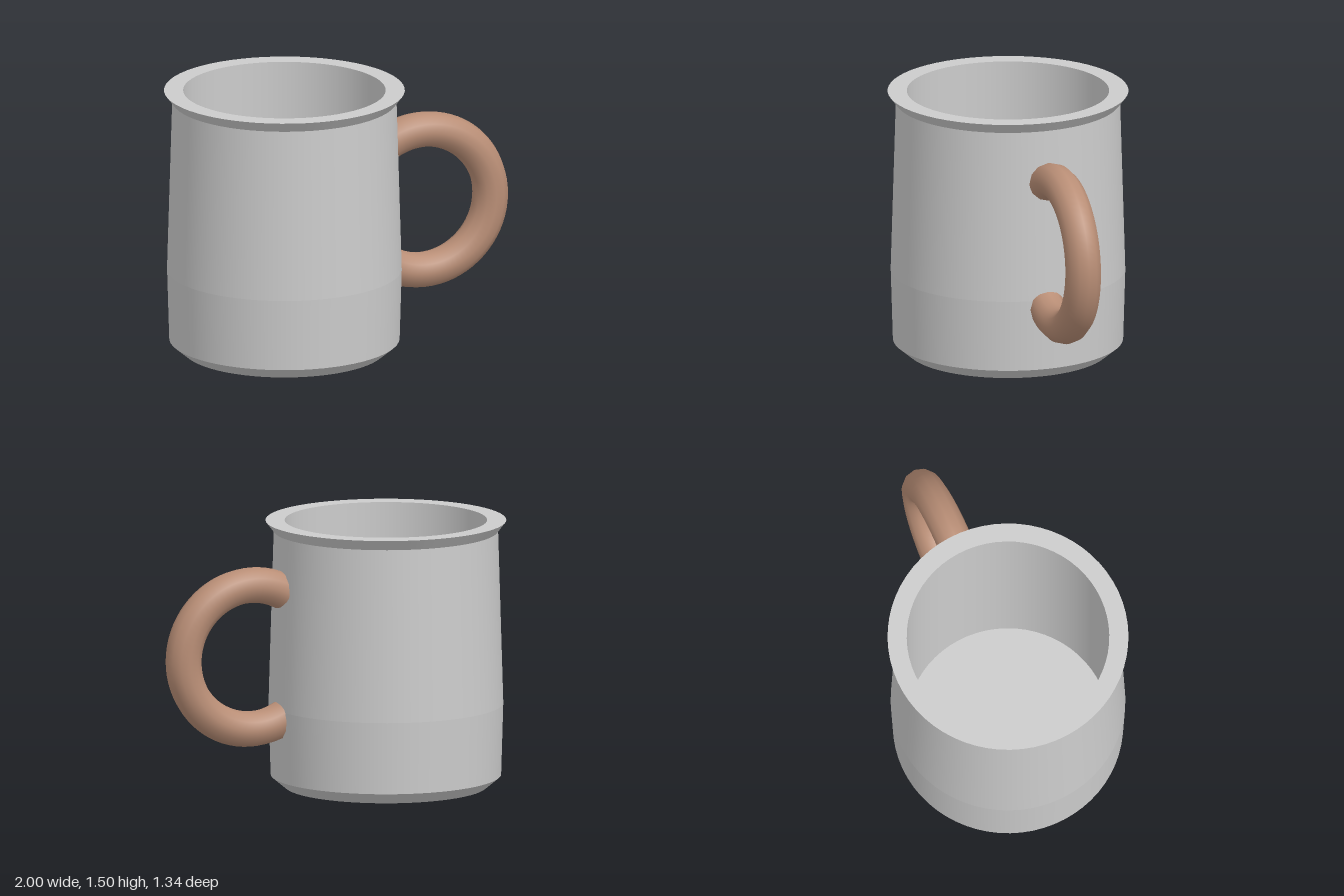
import * as THREE from 'three';
import { mergeGeometries } from 'three/addons/utils/BufferGeometryUtils.js';

// Lathe each profile segment on its own, so the edges between bands stay crisp
function bandedLathe(profile, sides) {
  const bands = [];
  for (let i = 0; i < profile.length - 1; i++) {
    const pair = [profile[i], profile[i + 1]].map(([r, y]) => new THREE.Vector2(r, y));
    bands.push(new THREE.LatheGeometry(pair, sides));
  }
  return mergeGeometries(bands);
}

export function createModel() {
  const group = new THREE.Group();
  const grey = new THREE.MeshStandardMaterial({ color: 0xcccccc });
  const clay = new THREE.MeshStandardMaterial({ color: 0xb98e76 });

  // Cup: bevelled foot, gently tapering wall, flared rim, straight hollow inside
  const cup = new THREE.Mesh(bandedLathe([
    [0, 0], [0.565, 0], [0.643, 0.065], [0.655, 0.47], [0.626, 1.445],
    [0.672, 1.505], [0.565, 1.505], [0.565, 0.09], [0, 0.09],
  ], 64), grey);
  cup.name = 'cup';
  cup.position.x = -0.328;
  group.add(cup);

  // Handle: part of a ring whose ends run into the wall
  const ringRadius = 0.407, tubeRadius = 0.101, halfArc = Math.PI * 2 / 3;
  const handle = new THREE.Group();
  handle.name = 'handle';
  handle.position.set(0.492, 0.786, 0);

  const ring = new THREE.Mesh(
    new THREE.TorusGeometry(ringRadius, tubeRadius, 12, 48, halfArc * 2), clay);
  ring.name = 'handleRing';
  ring.rotation.z = -halfArc;
  handle.add(ring);

  // Flat caps closing both ends of the ring
  for (const side of [1, -1]) {
    const cap = new THREE.Mesh(new THREE.CircleGeometry(tubeRadius, 12), clay);
    cap.name = side > 0 ? 'upperHandleEnd' : 'lowerHandleEnd';
    cap.geometry.rotateX(-side * Math.PI / 2);
    cap.geometry.translate(ringRadius, 0, 0);
    cap.rotation.z = side * halfArc;
    handle.add(cap);
  }
  group.add(handle);

  return group;
}
